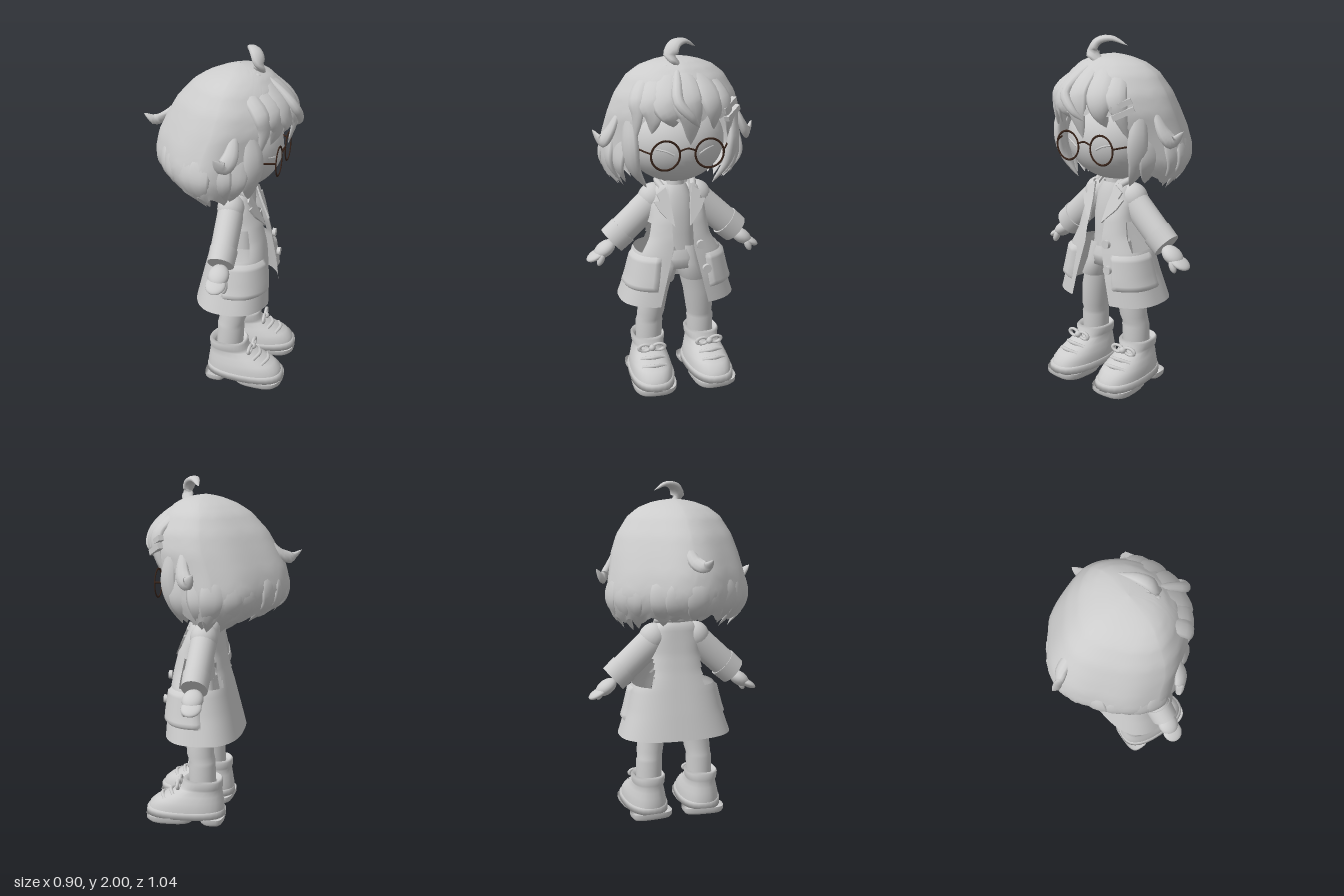
import * as THREE from 'three';

const grey = new THREE.MeshStandardMaterial({ color: 0xcccccc, side: THREE.DoubleSide });
grey.name = 'clay grey';
const dark = new THREE.MeshStandardMaterial({ color: 0x38241a });
dark.name = 'dark brown frame';
const V = (x, y, z) => new THREE.Vector3(x, y, z);

function add(parent, name, geo, mat = grey) {
  const m = new THREE.Mesh(geo, mat);
  m.name = name;
  parent.add(m);
  return m;
}

// Smooth surface from fn(u, v); quads may be skipped to leave openings
function surface(nu, nv, fn, closed = false, skip = () => false) {
  const pos = [], idx = [], cols = closed ? nu : nu + 1;
  for (let j = 0; j <= nv; j++)
    for (let i = 0; i < cols; i++) pos.push(...fn(i / nu, j / nv).toArray());
  for (let j = 0; j < nv; j++)
    for (let i = 0; i < nu; i++) {
      if (skip((i + 0.5) / nu, (j + 0.5) / nv)) continue;
      const a = j * cols + i, b = j * cols + (i + 1) % cols, c = a + cols, d = b + cols;
      idx.push(a, c, b, b, c, d);
    }
  const g = new THREE.BufferGeometry();
  g.setAttribute('position', new THREE.Float32BufferAttribute(pos, 3));
  g.setIndex(idx);
  g.computeVertexNormals();
  return g;
}

// Interpolates rows of [y, halfWidth, back, front], listed from top to bottom
function rowAt(rows, y) {
  let k = 0;
  while (k < rows.length - 2 && y < rows[k + 1][0]) k++;
  const a = rows[k], b = rows[k + 1];
  const t = THREE.MathUtils.clamp((a[0] - y) / (a[0] - b[0]), 0, 1);
  return a.map((v, i) => v + (b[i] - v) * t);
}
const pw = (v, p) => Math.sign(v) * Math.abs(v) ** p;
function ringPoint([y, w, back, front, xc = 0], phi, p = 1) {
  return V(xc + w * pw(Math.sin(phi), p), y, (front + back) / 2 + (front - back) / 2 * pw(Math.cos(phi), p));
}
function stack(rows, p = 1) {
  const n = rows.length - 1;
  return surface(28, n, (u, v) => ringPoint(rows[Math.round(v * n)], u * Math.PI * 2, p), true);
}

// Flattened, tapering lock of hair along a curve
function lock(pts, w, th, start = 0.15) {
  const curve = new THREE.CatmullRomCurve3(pts);
  return surface(10, 14, (u, v) => {
    const c = curve.getPoint(v), t = curve.getTangent(v);
    const out = c.clone().sub(V(0, 1.45, 0.05)).normalize();
    const side = V(0, 0, 0).crossVectors(t, out).normalize();
    out.crossVectors(side, t);
    const r = Math.max(0.001, Math.sin(Math.PI * (start + (1 - start) * v))) ** 0.75, a = u * Math.PI * 2;
    return c.addScaledVector(side, w * r * Math.cos(a)).addScaledVector(out, th * r * Math.sin(a));
  }, true);
}
const tube = (pts, r, n = 16) => new THREE.TubeGeometry(new THREE.CatmullRomCurve3(pts), n, r, 8);

const hairRows = [[1.9, 0.001, 0.08, 0.082], [1.893, 0.07, 0.03, 0.14], [1.88, 0.13, -0.02, 0.2], [1.85, 0.21, -0.1, 0.255],
  [1.8, 0.275, -0.18, 0.31], [1.7, 0.34, -0.275, 0.38], [1.6, 0.375, -0.335, 0.4], [1.5, 0.395, -0.385, 0.37], [1.4, 0.415, -0.405, 0.34],
  [1.33, 0.415, -0.39, 0.33], [1.25, 0.385, -0.32, 0.28], [1.18, 0.33, -0.2, 0.22]];
const hairPoint = (phi, y) => ringPoint(rowAt(hairRows, y), phi, Math.cos(phi) < 0 ? 1.3 : 1.08);
function hairEnd(phi) {
  const f = Math.abs(Math.atan2(Math.sin(phi), Math.cos(phi)));
  const s = THREE.MathUtils.smoothstep(f, 0.6, 1.05);
  return 1.61 - 0.38 * s + 0.04 * THREE.MathUtils.smoothstep(f, 2, 3.1) + 0.018 * Math.cos(phi * 18);
}

function buildHead(g) {
  const face = add(g, 'head', new THREE.SphereGeometry(1, 40, 28));
  face.scale.set(0.28, 0.24, 0.26);
  face.position.set(0, 1.435, 0.07);
  add(g, 'neck', new THREE.CylinderGeometry(0.05, 0.06, 0.14, 20)).position.set(0, 1.16, 0.08);
  add(g, 'hairCap', surface(108, 26, (u, v) => {
    const phi = u * Math.PI * 2, y = 1.9 - (1.9 - hairEnd(phi)) * v ** 1.6;
    const p = hairPoint(phi, y), k = 1 + 0.012 * v * Math.cos(phi * 9);
    return V(p.x * k, p.y, 0.04 + (p.z - 0.04) * k);
  }, true));
  // Pointed locks emerging from the lower part of the bob
  for (let i = 0; i < 15; i++) {
    const phi = 1 + i * (Math.PI * 2 - 2) / 14, e = hairEnd(phi), d = (i % 2 - 0.5) * 0.16;
    const pts = [[1.52, 0.93], [1.42, 0.955], [1.32, 0.965], [e - 0.045, 0.95]].map(([y, k], j) => {
      const p = hairPoint(phi + d * j / 3, y);
      return V(p.x * k, y, 0.04 + (p.z - 0.04) * k);
    });
    add(g, 'hemLock', lock(pts, 0.07, 0.02, 0.03));
  }
  // Fringe locks sweeping from the crown
  const fringe = [[-0.02, 0.01, 1.46, 0.085, 0], [-0.13, -0.08, 1.56, 0.075, 0], [0.12, 0.15, 1.53, 0.07, 0],
    [-0.2, -0.19, 1.52, 0.07, 0], [0.2, 0.25, 1.47, 0.06, 0], [-0.26, -0.27, 1.46, 0.05, 0], [-0.07, 0.05, 1.56, 0.03, 0.035]];
  for (const [mx, ex, ey, w, b] of fringe) {
    const zm = 0.365 - mx * mx * 1.7, ze = 0.37 - ex * ex * 1.5;
    add(g, 'fringeLock', lock([V(mx * 0.3, 1.865, 0.2), V(mx * 0.75, 1.79, zm - 0.065 + b / 2),
      V(mx, 1.7, zm + 0.01 + b), V((mx + ex) / 2 + 0.005, 1.62, (zm + ze) / 2 + 0.025 + b), V(ex, ey, ze - 0.015 + b)], w, 0.026, 0.06));
  }
  // Outward flicks, side locks and the curl on the crown
  for (const s of [-1, 1]) {
    add(g, 'sideFlick', lock([V(s * 0.33, 1.62, 0.14), V(s * 0.385, 1.5, 0.13), V(s * 0.42, 1.455, 0.1), V(s * 0.465, 1.51, 0.06)], 0.045, 0.025, 0.05));
    add(g, 'sideLock', lock([V(s * 0.29, 1.6, 0.21), V(s * 0.29, 1.45, 0.23), V(s * 0.27, 1.32, 0.21), V(s * 0.19, 1.19, 0.18)], 0.06, 0.03));
  }
  add(g, 'backFlick', lock([V(0.02, 1.66, -0.26), V(0, 1.57, -0.35), V(-0.04, 1.55, -0.4), V(-0.065, 1.59, -0.46)], 0.04, 0.025));
  add(g, 'crownCurl', lock([V(-0.01, 1.86, 0.19), V(-0.055, 1.91, 0.2), V(-0.035, 1.965, 0.18), V(0.03, 1.982, 0.14), V(0.11, 1.945, 0.1)], 0.042, 0.022, 0.2));
  // Hair clip made of two bars
  for (const [y, x] of [[1.655, 0.235], [1.612, 0.255]]) {
    const clip = add(g, 'hairClip', new THREE.BoxGeometry(0.125, 0.03, 0.03));
    clip.position.set(x, y, 0.31);
    clip.rotation.set(0, 0.7, 0.4);
  }
  // Glasses and lowered eyelids
  for (const s of [-1, 1]) {
    const rim = add(g, 'glassesRim', new THREE.TorusGeometry(0.08, 0.006, 8, 40), dark);
    rim.position.set(s * 0.123, 1.405, 0.335);
    rim.scale.z = 0.6;
    add(g, 'glassesTemple', tube([V(s * 0.202, 1.42, 0.335), V(s * 0.225, 1.425, 0.3), V(s * 0.25, 1.43, 0.25)], 0.005), dark);
    add(g, 'eyelid', tube([V(s * 0.07, 1.4, 0.319), V(s * 0.11, 1.42, 0.309), V(s * 0.16, 1.43, 0.281)], 0.005));
  }
  add(g, 'glassesBridge', tube([V(-0.045, 1.425, 0.335), V(0, 1.438, 0.337), V(0.045, 1.425, 0.335)], 0.005), dark);
}

const coatRows = [[1.2, 0.075, 0.01, 0.14], [1.17, 0.13, -0.01, 0.165], [1.08, 0.165, -0.02, 0.2], [1, 0.17, -0.03, 0.24],
  [0.9, 0.195, -0.05, 0.265], [0.8, 0.255, -0.075, 0.28], [0.66, 0.29, -0.11, 0.3], [0.51, 0.34, -0.145, 0.31]];
const coatPoint = (phi, y) => ringPoint(rowAt(coatRows, y), phi, 0.78);

function buildCoat(g) {
  add(g, 'coatBody', surface(72, 34, (u, v) => {
    const y = 1.2 - 0.69 * v, gap = y > 0.85 ? 0.06 : 0.06 + (0.85 - y) * 0.24;
    const p0 = Math.asin((gap / rowAt(coatRows, y)[1]) ** (1 / 0.78));
    return coatPoint(p0 + u * (Math.PI * 2 - 2 * p0), y);
  }, false, (u, v) => {
    // Slits under the arms, wider towards the bottom
    const y = 1.2 - 0.69 * v, f = Math.min(u, 1 - u) * Math.PI * 2;
    return y > 0.81 && y < 0.98 && f > 0.95 && f < 2.15 + (0.98 - y) * 2.5;
  }));
  for (const s of [-1, 1]) {
    add(g, 'coatPocket', surface(20, 12, (u, v) => {
      const edge = Math.min(u, 1 - u, v, 1 - v) > 0.03 ? 0.018 : 0;
      const phi = s * (0.42 + u * 1.25), p = coatPoint(phi, 0.8 - 0.2 * v);
      return p.add(V(Math.sin(phi), 0, Math.cos(phi)).multiplyScalar(edge));
    }));
    // Notched lapel
    const shape = new THREE.Shape([[0.045, 0], [0.12, 0.09], [0.15, 0.15], [0.115, 0.15], [0.13, 0.19], [0.075, 0.225], [0.055, 0.12]]
      .map(([x, y]) => new THREE.Vector2(s * x, y)));
    const lapel = add(g, 'lapel', new THREE.ExtrudeGeometry(shape, { depth: 0.012, bevelEnabled: false }));
    lapel.position.set(0, 0.97, 0.25);
    lapel.rotation.set(-0.4, s * 0.12, 0);
    buildArm(g, s);
  }
  add(g, 'collar', tube([V(0.09, 1.17, 0.14), V(0.1, 1.2, 0.06), V(0, 1.21, 0), V(-0.1, 1.2, 0.06), V(-0.09, 1.17, 0.14)], 0.02, 30));
  for (const [x, y, z] of [[0.1, 0.86, 0.275], [0.13, 0.72, 0.3]]) {
    const b = add(g, 'button', new THREE.CylinderGeometry(0.025, 0.025, 0.02, 20));
    b.position.set(x, y, z);
    b.rotation.x = Math.PI / 2;
  }
}

function buildArm(g, s) {
  const limb = (name, a, b, ra, rb, flat) => {
    const m = add(g, name, new THREE.CylinderGeometry(rb, ra, a.distanceTo(b), 24, 4));
    m.position.copy(a).lerp(b, 0.5);
    m.quaternion.setFromUnitVectors(V(0, 1, 0), b.clone().sub(a).normalize());
    m.scale.z = flat;
  };
  const ball = (name, x, y, z, a, b, c, rot) => {
    const m = add(g, name, new THREE.SphereGeometry(1, 20, 14));
    m.position.set(s * x, y, z);
    m.scale.set(a, b, c);
    m.rotation.z = s * rot;
  };
  ball('shoulder', 0.13, 1.095, 0.07, 0.085, 0.09, 0.08, 0.6);
  limb('sleeve', V(s * 0.12, 1.09, 0.07), V(s * 0.34, 0.89, 0.075), 0.086, 0.083, 0.88);
  limb('sleeveCuff', V(s * 0.305, 0.92, 0.075), V(s * 0.373, 0.86, 0.075), 0.09, 0.086, 0.87);
  ball('palm', 0.415, 0.812, 0.075, 0.07, 0.042, 0.06, -0.6);
  ball('fingers', 0.463, 0.78, 0.072, 0.064, 0.023, 0.058, -0.5);
  ball('thumb', 0.445, 0.765, 0.115, 0.02, 0.04, 0.02, 0.4);
}

function buildLeg(g, s) {
  const x = (v) => s * v;
  add(g, 'shortsLeg', stack([[0.83, 0.055, 0.03, 0.2, x(0.055)], [0.72, 0.065, 0.02, 0.22, x(0.065)], [0.62, 0.08, 0, 0.22, x(0.1)], [0.625, 0.06, 0.03, 0.19, x(0.1)]], 0.85));
  add(g, 'leg', stack([[0.66, 0.085, 0.01, 0.19, x(0.1)], [0.52, 0.085, 0.015, 0.18, x(0.135)], [0.4, 0.08, 0.01, 0.17, x(0.15)],
    [0.36, 0.075, 0, 0.155, x(0.155)], [0.34, 0.08, 0, 0.16, x(0.158)], [0.22, 0.077, -0.005, 0.155, x(0.16)]]));
  const shoe = new THREE.Group();
  shoe.name = 'shoe';
  shoe.position.set(x(0.163), 0, 0);
  shoe.rotation.y = s * 0.06;
  g.add(shoe);
  add(shoe, 'shoeUpper', stack([[0.235, 0.075, -0.015, 0.155], [0.262, 0.09, -0.035, 0.175], [0.25, 0.1, -0.045, 0.188], [0.21, 0.095, -0.045, 0.19],
    [0.195, 0.088, -0.04, 0.215], [0.165, 0.1, -0.045, 0.28], [0.13, 0.112, -0.05, 0.355], [0.1, 0.12, -0.055, 0.39], [0.06, 0.122, -0.055, 0.4]], 0.85));
  add(shoe, 'shoeSole', stack([[0.075, 0.118, -0.05, 0.395], [0.07, 0.13, -0.06, 0.41], [0.035, 0.13, -0.06, 0.412], [0.033, 0.001, 0.16, 0.17]], 0.8));
  // Heel and front tread with an arch between them
  for (const [name, back, front, p] of [['heelTread', -0.06, 0.085, 0.6], ['frontTread', 0.115, 0.41, 0.65]])
    add(shoe, name, stack([[0.04, 0.128, back, front], [0.015, 0.126, back, front], [0, 0.115, back + 0.01, front - 0.015],
      [0, 0.001, (back + front) / 2, (back + front) / 2 + 0.002]], p));
  // Laces and bow
  for (const [y, z] of [[0.178, 0.26], [0.152, 0.312]])
    add(shoe, 'lace', tube([V(-0.07, y - 0.015, z - 0.02), V(0, y, z + 0.005), V(0.07, y - 0.015, z - 0.02)], 0.011));
  for (const k of [-1, 1]) {
    const loop = add(shoe, 'bowLoop', new THREE.TorusGeometry(0.026, 0.01, 8, 18));
    loop.position.set(k * 0.042, 0.22, 0.215);
    loop.scale.set(1.3, 0.8, 1);
  }
  add(shoe, 'bowKnot', new THREE.SphereGeometry(0.02, 14, 10)).position.set(0, 0.22, 0.222);
}

export function createModel() {
  const model = new THREE.Group();
  model.name = 'figure';
  const g = new THREE.Group();
  g.name = 'body';
  g.rotation.y = Math.PI / 2; // the figure looks along +x
  model.add(g);
  buildHead(g);
  add(g, 'shirt', stack([[1.18, 0.06, 0.02, 0.14], [1.12, 0.09, 0.02, 0.17], [1, 0.1, 0.04, 0.19], [0.9, 0.1, 0.04, 0.19], [0.78, 0.11, 0.03, 0.2]], 0.9));
  add(g, 'shortsWaist', stack([[0.81, 0.11, 0.02, 0.205], [0.76, 0.12, 0.01, 0.22], [0.7, 0.125, 0.01, 0.22], [0.69, 0.01, 0.1, 0.12]], 0.85));
  buildCoat(g);
  for (const s of [-1, 1]) buildLeg(g, s);
  return model;
}
